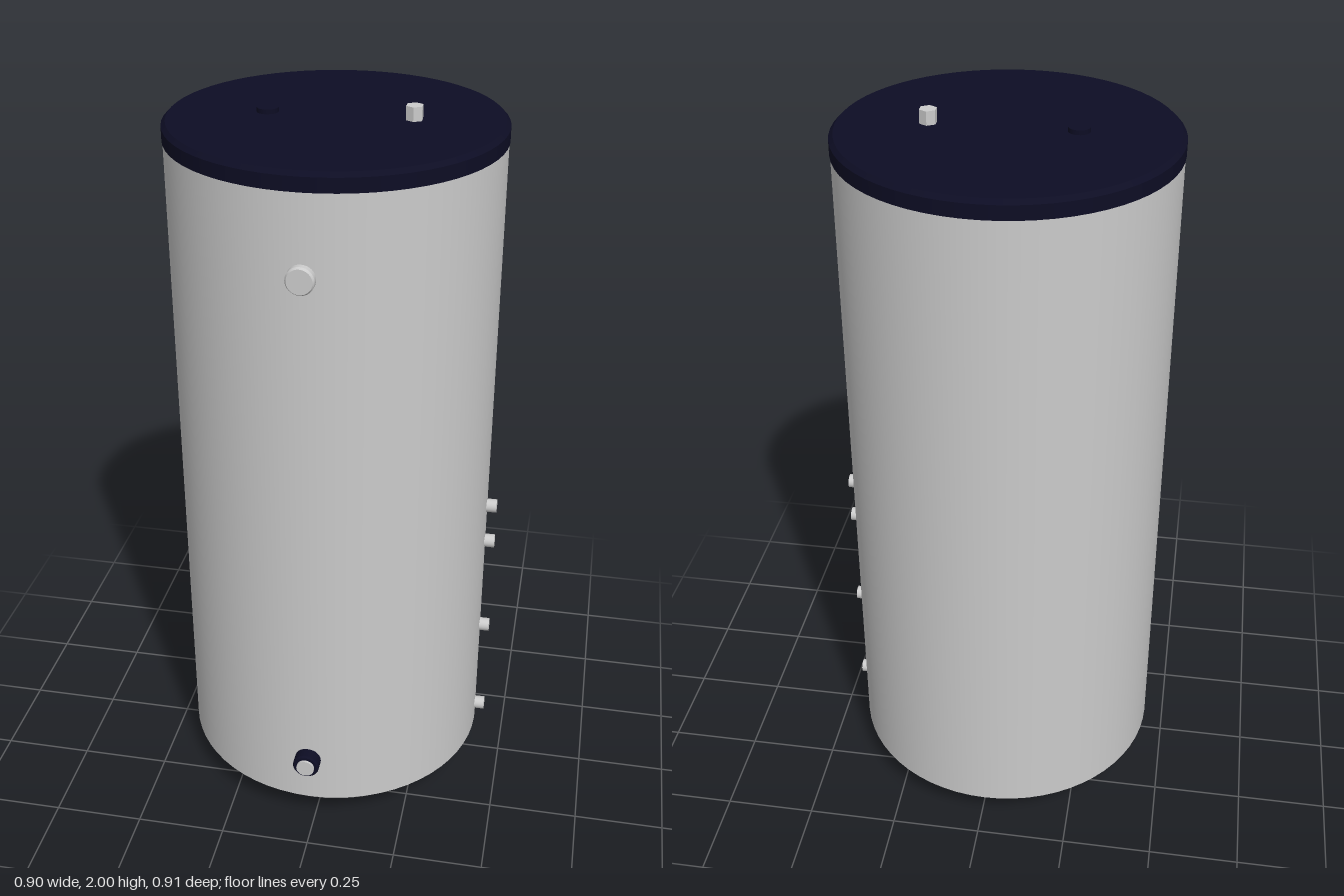
import * as THREE from 'three';

export function createModel() {
  const model = new THREE.Group();
  model.name = 'storageTank';
  const grey = new THREE.MeshStandardMaterial({ color: 0xcbcbcb });
  grey.name = 'light grey';
  const navy = new THREE.MeshStandardMaterial({ color: 0x0d0d24 });
  navy.name = 'dark navy';

  // everything is placed around the tank's own axis
  const tank = new THREE.Group();
  tank.name = 'tank';
  tank.position.set(-0.0135, 0, -0.022);
  model.add(tank);

  const add = (name, geometry, material, x = 0, y = 0, z = 0) => {
    const mesh = new THREE.Mesh(geometry, material);
    mesh.name = name;
    mesh.position.set(x, y, z);
    tank.add(mesh);
    return mesh;
  };

  // lathe whose profile corners stay sharp: each segment gets its own points
  const sharpLathe = (name, profile, material, sides = 64) => {
    const group = new THREE.Group();
    group.name = name;
    for (let i = 0; i < profile.length - 1; i++) {
      const pts = [profile[i], profile[i + 1]].map(([r, y]) => new THREE.Vector2(r, y));
      group.add(new THREE.Mesh(new THREE.LatheGeometry(pts, sides), material));
      group.children[i].name = `${name}Band${i + 1}`;
    }
    tank.add(group);
    return group;
  };

  // shell with chamfered bottom
  sharpLathe('shell', [[0, 0.052], [0.39, 0.052], [0.433, 0.095], [0.433, 1.917]], grey);

  // lid with bevelled rim
  sharpLathe('lid', [[0.43, 1.915], [0.435, 1.915], [0.435, 1.952], [0.424, 1.963], [0, 1.965]], navy);

  // three feet
  for (let i = 0; i < 3; i++) {
    const a = Math.PI / 6 + (i * 2 * Math.PI) / 3;
    add('foot', new THREE.CylinderGeometry(0.03, 0.03, 0.056, 24), navy,
      0.313 * Math.cos(a), 0.028, 0.313 * Math.sin(a));
  }

  // top fittings
  add('outletPipe', new THREE.CylinderGeometry(0.023, 0.023, 0.045, 6).toNonIndexed(), grey, 0.197, 1.9775, 0)
    .geometry.computeVertexNormals();
  add('plug', new THREE.CylinderGeometry(0.028, 0.028, 0.016, 24), navy, -0.174, 1.968, 0);

  // side ports
  for (const y of [0.157, 0.455, 0.752, 0.87]) {
    add('sidePort', new THREE.CylinderGeometry(0.019, 0.019, 0.06, 24), grey, 0.4305, y, 0)
      .rotation.z = -Math.PI / 2;
  }

  // front thermometer disc
  add('gauge', new THREE.CylinderGeometry(0.032, 0.036, 0.006, 32), grey, 0, 1.705, 0.451)
    .rotation.x = Math.PI / 2;
  add('gaugeBase', new THREE.CylinderGeometry(0.036, 0.036, 0.028, 32), grey, 0, 1.705, 0.434)
    .rotation.x = Math.PI / 2;

  // front heating element: dark collar and light core
  add('elementCollar', new THREE.CylinderGeometry(0.033, 0.037, 0.005, 32), navy, 0, 0.235, 0.4645)
    .rotation.x = Math.PI / 2;
  add('elementCollarBase', new THREE.CylinderGeometry(0.037, 0.037, 0.042, 32), navy, 0, 0.235, 0.441)
    .rotation.x = Math.PI / 2;
  add('elementCore', new THREE.CylinderGeometry(0.025, 0.025, 0.05, 32), grey, 0, 0.235, 0.449)
    .rotation.x = Math.PI / 2;

  return model;
}
